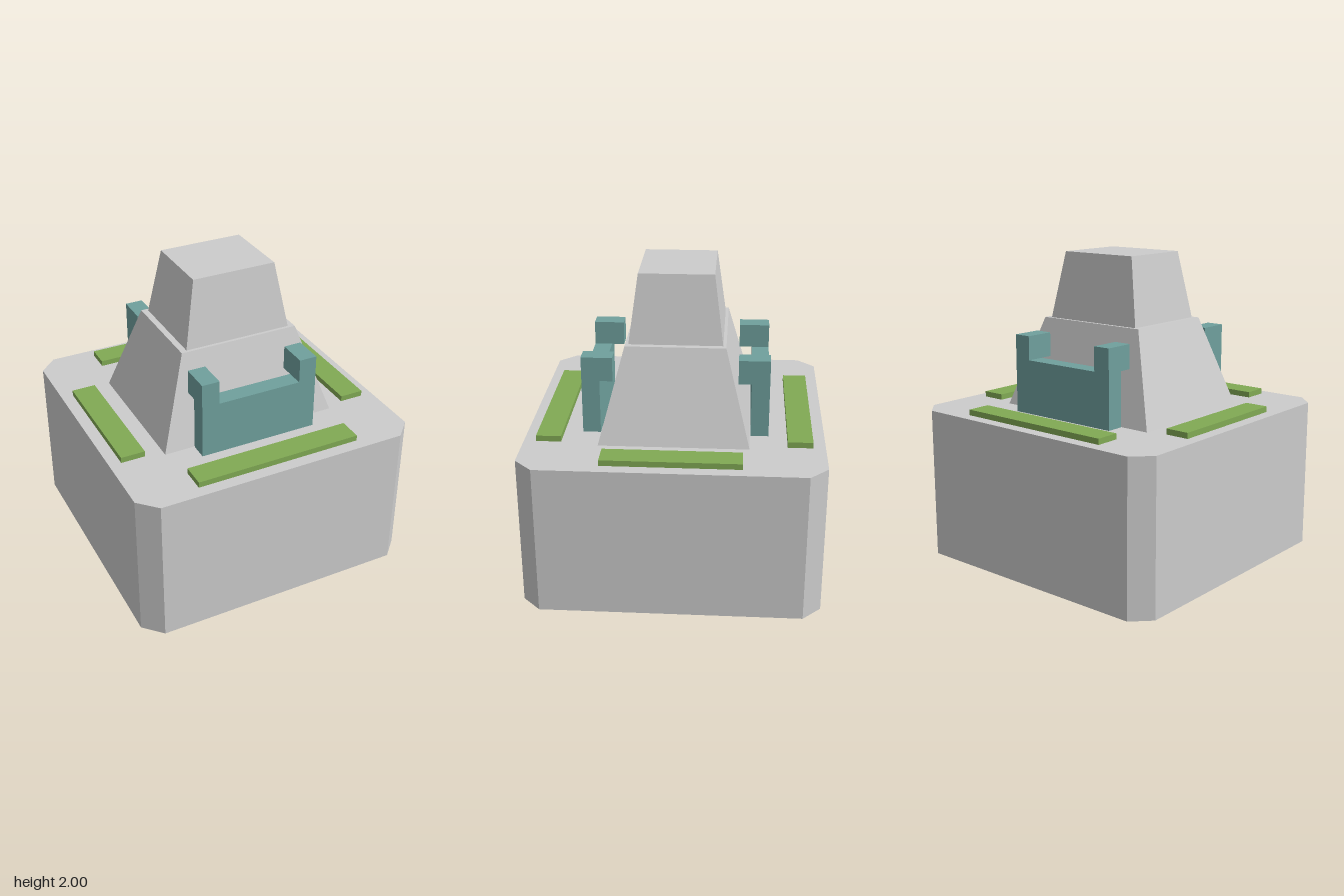
import * as THREE from 'three';

const grey = new THREE.MeshStandardMaterial({ color: 0xcccccc, flatShading: true });
const teal = new THREE.MeshStandardMaterial({ color: 0x6fa09d, flatShading: true });
const green = new THREE.MeshStandardMaterial({ color: 0x81aa54, flatShading: true });

const DECK = 0.985;

// Box given by its minimum and maximum corners
function block(name, material, [x0, y0, z0], [x1, y1, z1]) {
  const mesh = new THREE.Mesh(new THREE.BoxGeometry(x1 - x0, y1 - y0, z1 - z0), material);
  mesh.position.set((x0 + x1) / 2, (y0 + y1) / 2, (z0 + z1) / 2);
  mesh.name = name;
  return mesh;
}

// Box whose top is narrower than its bottom; sizes are half widths [x, z]
function taperedBlock(name, bottom, top, y0, y1) {
  const geometry = new THREE.BoxGeometry(2, 1, 2);
  const p = geometry.attributes.position;
  for (let i = 0; i < p.count; i++) {
    const upper = p.getY(i) > 0;
    const half = upper ? top : bottom;
    p.setXYZ(i, p.getX(i) * half[0], upper ? y1 : y0, p.getZ(i) * half[1]);
  }
  geometry.computeVertexNormals();
  const mesh = new THREE.Mesh(geometry, grey);
  mesh.name = name;
  return mesh;
}

// Square block with cut vertical corners
function createBase() {
  const h = 0.94, c = 0.825;
  const outline = new THREE.Shape(
    [[c, -h], [h, -c], [h, c], [c, h], [-c, h], [-h, c], [-h, -c], [-c, -h]]
      .map(([x, y]) => new THREE.Vector2(x, y)));
  const geometry = new THREE.ExtrudeGeometry(outline, { depth: DECK, bevelEnabled: false });
  geometry.rotateX(-Math.PI / 2);
  const mesh = new THREE.Mesh(geometry, grey);
  mesh.name = 'base';
  return mesh;
}

// Upright panel with two hooked posts reaching back to the tower
function createBracket(name) {
  const bracket = new THREE.Group();
  bracket.name = name;
  bracket.add(
    block('bracketPanel', teal, [-0.39, DECK, 0.475], [0.39, 1.335, 0.588]),
    block('leftPost', teal, [0.275, 1.335, 0.392], [0.39, 1.49, 0.588]),
    block('rightPost', teal, [-0.39, 1.335, 0.392], [-0.275, 1.49, 0.588]));
  return bracket;
}

export function createModel() {
  const model = new THREE.Group();
  model.name = 'model';
  model.add(createBase());

  // Two-stage tower
  model.add(
    taperedBlock('lowerTower', [0.588, 0.47], [0.392, 0.313], DECK, 1.57),
    taperedBlock('upperTower', [0.352, 0.293], [0.274, 0.235], 1.57, 2));

  // Front and back brackets
  const backBracket = createBracket('backBracket');
  backBracket.rotation.y = Math.PI;
  model.add(createBracket('frontBracket'), backBracket);

  // Flat strips around the deck
  [['frontStrip', 0.547], ['leftStrip', 0.43], ['backStrip', 0.547], ['rightStrip', 0.43]]
    .forEach(([name, half], i) => {
      const strip = new THREE.Group();
      strip.name = name;
      strip.add(block('stripPlate', green, [-half, DECK, 0.705], [half, 1.022, 0.862]));
      strip.rotation.y = i * Math.PI / 2;
      model.add(strip);
    });

  return model;
}
